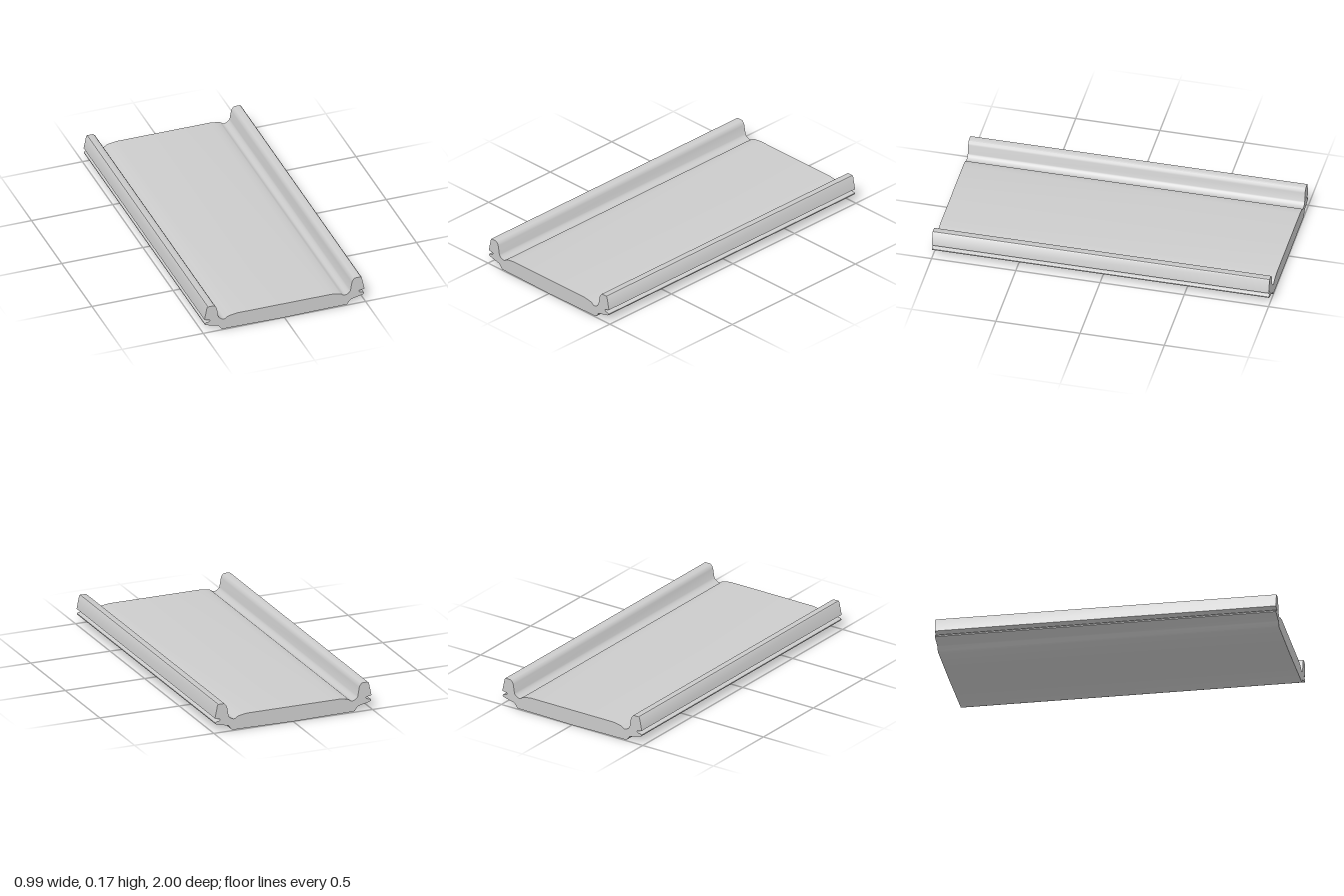
import * as THREE from 'three';
import { toCreasedNormals } from 'three/addons/utils/BufferGeometryUtils.js';

// Half of the cross-section, from the bottom centre round the side rail to the top centre
const half = [
  [0, 0], [0.2, 0.003], [0.383, 0.005], [0.389, 0.009], // underside
  [0.405, 0.031], [0.411, 0.035], // foot chamfer
  [0.483, 0.052], [0.49, 0.056], [0.491, 0.063], [0.486, 0.068], // lower lip
  [0.469, 0.07], [0.461, 0.075], [0.459, 0.08], [0.463, 0.084], // groove
  [0.488, 0.088], [0.493, 0.091], // upper lip
  [0.477, 0.168], [0.471, 0.174], [0.437, 0.174], [0.43, 0.171], // rail top
  [0.42, 0.158], [0.416, 0.148], [0.407, 0.095], [0.403, 0.088], // inner wall
  [0.396, 0.081], [0.385, 0.074], [0.374, 0.071], [0.363, 0.073], // channel
  [0.352, 0.082], [0.343, 0.086], [0.315, 0.091], [0.288, 0.0945], [0, 0.0945], // raised floor
];

export function createModel() {
  const group = new THREE.Group();
  group.name = 'channelPanel';

  // Mirror the half outline to close the section
  const mirrored = half.slice(1, -1).reverse().map(([x, y]) => [-x, y]);
  const outline = [...half, ...mirrored].map(([x, y]) => new THREE.Vector2(x, y));

  const section = new THREE.ExtrudeGeometry(new THREE.Shape(outline), {
    depth: 2, bevelEnabled: false,
  });
  section.translate(0, 0, -1);

  const panel = new THREE.Mesh(
    toCreasedNormals(section, THREE.MathUtils.degToRad(40)),
    new THREE.MeshStandardMaterial({ color: 0xcccccc }),
  );
  panel.name = 'railedPanel';
  group.add(panel);
  return group;
}
